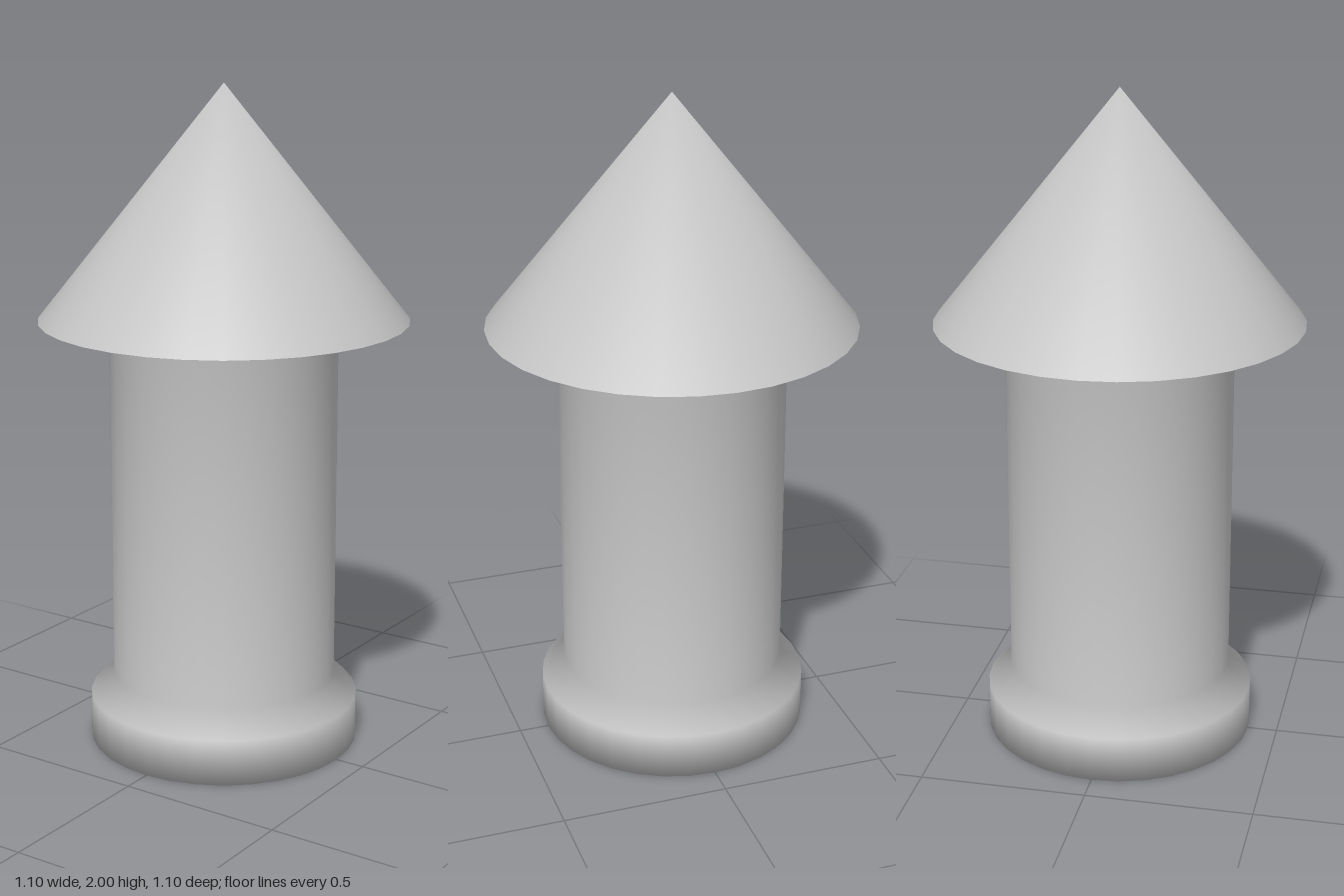
import * as THREE from 'three';

export function createModel() {
  const group = new THREE.Group();
  group.name = 'pointedPost';

  // One continuous smooth profile, from the bottom centre up to the tip
  const profile = [
    [0, 0], [0.41, 0], [0.41, 0.14],  // foot
    [0.34, 0.21],                     // bevel into the column
    [0.34, 1.31],                     // column
    [0.55, 1.31], [0, 2],             // overhanging cone cap
  ].map(([r, y]) => new THREE.Vector2(r, y));

  const geometry = new THREE.LatheGeometry(profile, 32);

  // Blend the shading smoothly over the tip
  const { position, normal } = geometry.attributes;
  for (let i = 0; i < position.count; i++) {
    if (position.getY(i) > 1.99) normal.setXYZ(i, 0, 1, 0);
  }

  const post = new THREE.Mesh(geometry, new THREE.MeshStandardMaterial({ color: 0xcccccc }));
  post.name = 'postWithConeCap';
  group.add(post);
  return group;
}
